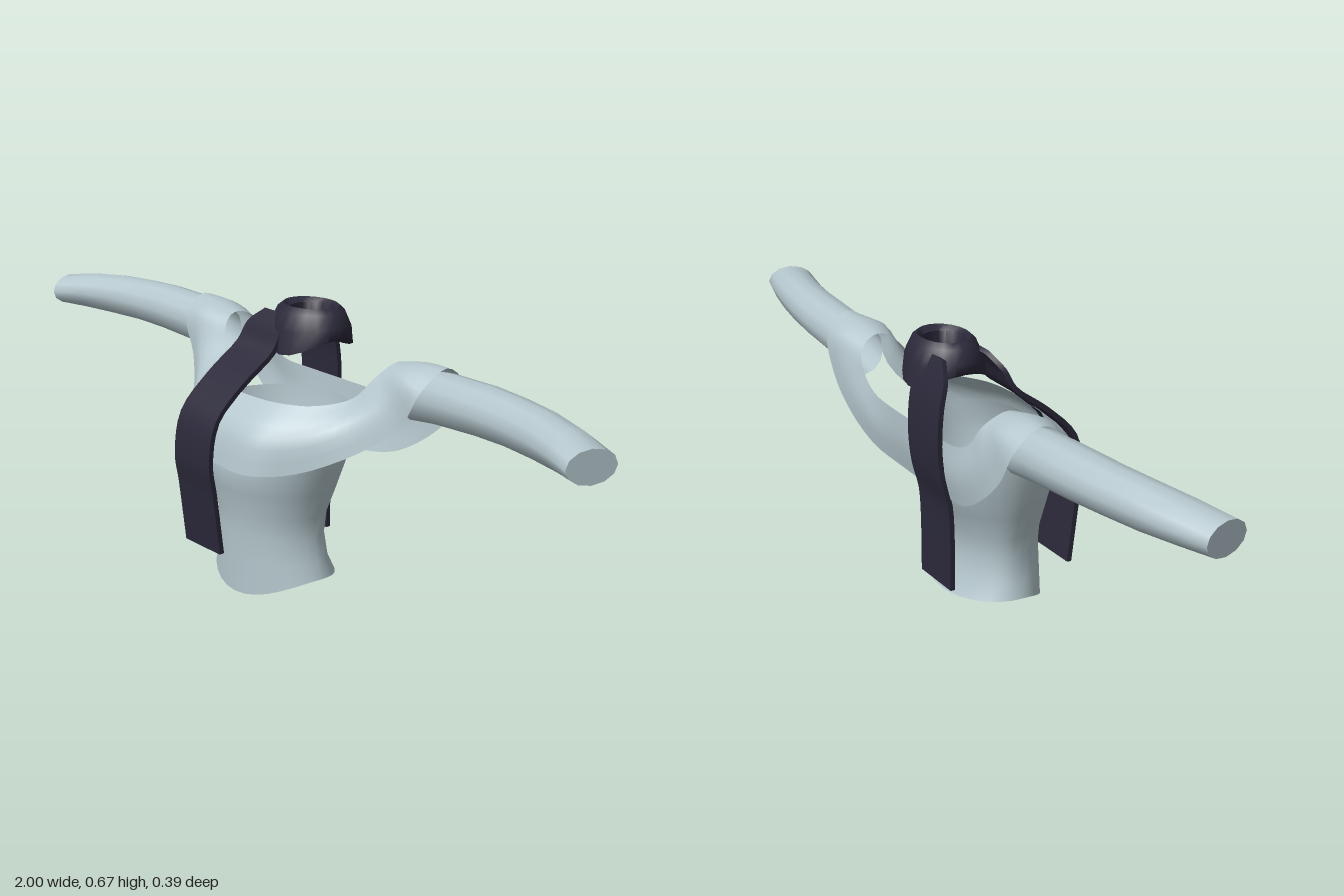
import * as THREE from 'three';
import { toCreasedNormals } from 'three/addons/utils/BufferGeometryUtils.js';

const cloth = new THREE.MeshStandardMaterial({ color: 0xb4c6cc, side: THREE.DoubleSide });
cloth.name = 'pale grey cloth';
const dark = new THREE.MeshStandardMaterial({ color: 0x2b293a, side: THREE.DoubleSide });
dark.name = 'dark scarf cloth';

const V = (x, y, z) => new THREE.Vector3(x, y, z);

// Skin a list of equal-length point rows; closed joins each row into a ring.
function loft(name, rows, closed, material, crease = 0.8) {
  const n = rows[0].length, index = [];
  for (let i = 0; i < rows.length - 1; i++) {
    for (let j = 0; j < (closed ? n : n - 1); j++) {
      const k = (j + 1) % n;
      const a = i * n + j, b = i * n + k, c = a + n, d = b + n;
      index.push(a, b, d, a, d, c);
    }
  }
  const geo = new THREE.BufferGeometry().setFromPoints(rows.flat());
  geo.setIndex(index);
  const mesh = new THREE.Mesh(toCreasedNormals(geo, crease), material);
  mesh.name = name;
  return mesh;
}

// Ring of points from a rule taking sin (x) and cos (z).
const ring = (n, rule) => Array.from({ length: n }, (_, i) => {
  const a = (i / n) * Math.PI * 2;
  return rule(Math.sin(a), Math.cos(a));
});

// Row of centre points that closes a ring.
function capOf(row) {
  const c = row.reduce((s, p) => s.add(p), V(0, 0, 0)).divideScalar(row.length);
  return row.map(() => c.clone());
}

// Smooth resampling of a list of points.
const smooth = (pts, n, closed = false) =>
  new THREE.CatmullRomCurve3(pts, closed).getPoints(n);

// Torso: half width, front z, back z at each height
function torso() {
  const levels = [
    [0.03, 0.178, 0.122, -0.113], [0.09, 0.165, 0.124, -0.09],
    [0.15, 0.15, 0.126, -0.086], [0.2, 0.155, 0.13, -0.093],
    [0.26, 0.172, 0.145, -0.122], [0.32, 0.188, 0.16, -0.15],
    [0.38, 0.196, 0.145, -0.163], [0.43, 0.2, 0.11, -0.165],
  ];
  const rows = levels.map(([y, hw, zf, zb], i) => ring(32, (s, c) => {
    let h = y;
    if (i === 0) h = 0.055 * s * s + (c > 0 ? 0 : 0.04) * c * c; // slanted hem
    if (i === levels.length - 1) h += 0.015 * c * c;             // dipped rim
    return V(hw * s, h, c > 0 ? zf * c : -zb * c);
  }));
  return loft('torso', [capOf(rows[0]), ...rows], true, cloth);
}

// Yoke: lower, middle and upper edge from front centre over the shoulder to back
function yoke() {
  const stations = [
    [0, 0.33, 0.18, 0, 0.42, 0.162, 0, 0.485, 0.1],
    [0.13, 0.33, 0.176, 0.13, 0.42, 0.155, 0.12, 0.485, 0.088],
    [0.22, 0.345, 0.11, 0.21, 0.425, 0.1, 0.2, 0.487, 0.04],
    [0.32, 0.4, 0.015, 0.285, 0.46, 0.02, 0.25, 0.505, -0.03],
    [0.4, 0.47, -0.04, 0.355, 0.52, -0.033, 0.285, 0.55, -0.055],
    [0.45, 0.56, -0.055, 0.385, 0.58, -0.055, 0.303, 0.58, -0.085],
    [0.46, 0.605, -0.12, 0.38, 0.602, -0.12, 0.305, 0.588, -0.115],
    [0.45, 0.56, -0.178, 0.385, 0.575, -0.178, 0.3, 0.575, -0.148],
    [0.4, 0.47, -0.188, 0.355, 0.52, -0.188, 0.285, 0.55, -0.17],
    [0.32, 0.4, -0.186, 0.285, 0.455, -0.189, 0.25, 0.505, -0.176],
    [0.22, 0.345, -0.174, 0.2, 0.41, -0.184, 0.2, 0.48, -0.178],
    [0.1, 0.325, -0.16, 0.1, 0.4, -0.178, 0.1, 0.475, -0.182],
    [0, 0.322, -0.158, 0, 0.4, -0.178, 0, 0.475, -0.182],
  ];
  const edges = [0, 3, 6].map((k) => {
    const left = stations.map((s) => V(s[k], s[k + 1], s[k + 2]));
    const right = left.slice(1, -1).reverse().map((p) => V(-p.x, p.y, p.z));
    return smooth([...left, ...right], 96, true);
  });
  const rows = edges[0].map((p, i) => smooth([p, edges[1][i], edges[2][i]], 6));
  return loft('yoke', rows, false, cloth, 1.2);
}

// Sleeve: centre x, y, z, then height and depth radii
function sleeve(side) {
  const stations = [
    [0.37, 0.525, -0.118, 0.06, 0.05, 0], [0.46, 0.537, -0.116, 0.06, 0.058, 0],
    [0.6, 0.543, -0.11, 0.057, 0.06, -0.06], [0.7, 0.544, -0.1, 0.054, 0.058, -0.14],
    [0.8, 0.543, -0.083, 0.052, 0.056, -0.22], [0.9, 0.54, -0.058, 0.046, 0.057, -0.25],
    [0.985, 0.534, -0.032, 0.038, 0.058, -0.25],
  ];
  const rows = stations.map(([x, y, z, ry, rz, lean]) =>
    ring(12, (s, c) => V(side * (x + lean * rz * s), y + ry * c, z + rz * s)));
  return loft(side > 0 ? 'leftSleeve' : 'rightSleeve',
    [...rows, capOf(rows[rows.length - 1])], true, cloth);
}

// Scarf collar: x radius, z radius, height, and drop at front and back
function collar() {
  const rows = [
    [0.055, 0.055, 0.585, 0], [0.1, 0.085, 0.6, 0.035], [0.108, 0.093, 0.605, 0.045],
    [0.11, 0.085, 0.63, 0.015], [0.092, 0.07, 0.658, 0], [0.076, 0.058, 0.67, 0],
    [0.054, 0.05, 0.66, 0], [0.055, 0.055, 0.585, 0],
  ].map(([rx, rz, y, drop]) =>
    ring(20, (s, c) => V(0.01 + rx * s, y - drop * c * c, -0.095 + rz * c)));
  return loft('scarfCollar', rows, true, dark, 1.1);
}

// Scarf tail: flat strap through points of outer x, height, z
function tail(name, pts) {
  const path = smooth(pts.map((p) => V(...p)), 28);
  const rows = path.map((p, i) => {
    const a = path[Math.max(i - 1, 0)], b = path[Math.min(i + 1, path.length - 1)];
    const t = V(0, b.y - a.y, b.z - a.z).normalize().multiplyScalar(0.006);
    const at = (x, k) => V(x, p.y + k * t.z, p.z - k * t.y);
    return [at(p.x, 1), at(0, 1), at(0, -1), at(p.x, -1)];
  });
  return loft(name, [capOf(rows[0]), ...rows, capOf(rows[rows.length - 1])], true, dark);
}

export function createModel() {
  const model = new THREE.Group();
  model.name = 'jacketWithScarf';
  model.add(torso(), yoke(), sleeve(1), sleeve(-1), collar());
  model.add(tail('frontScarfTail', [
    [-0.09, 0.645, -0.04], [-0.13, 0.61, -0.018], [-0.14, 0.565, 0.005], [-0.14, 0.5, 0.09],
    [-0.14, 0.42, 0.168], [-0.14, 0.32, 0.187], [-0.14, 0.25, 0.177], [-0.14, 0.1, 0.158],
  ]));
  model.add(tail('backScarfTail', [
    [-0.09, 0.645, -0.15], [-0.13, 0.605, -0.168], [-0.14, 0.55, -0.184], [-0.14, 0.46, -0.19],
    [-0.14, 0.38, -0.182], [-0.14, 0.31, -0.164], [-0.14, 0.2, -0.159], [-0.14, 0.1, -0.159],
  ]));
  return model;
}
